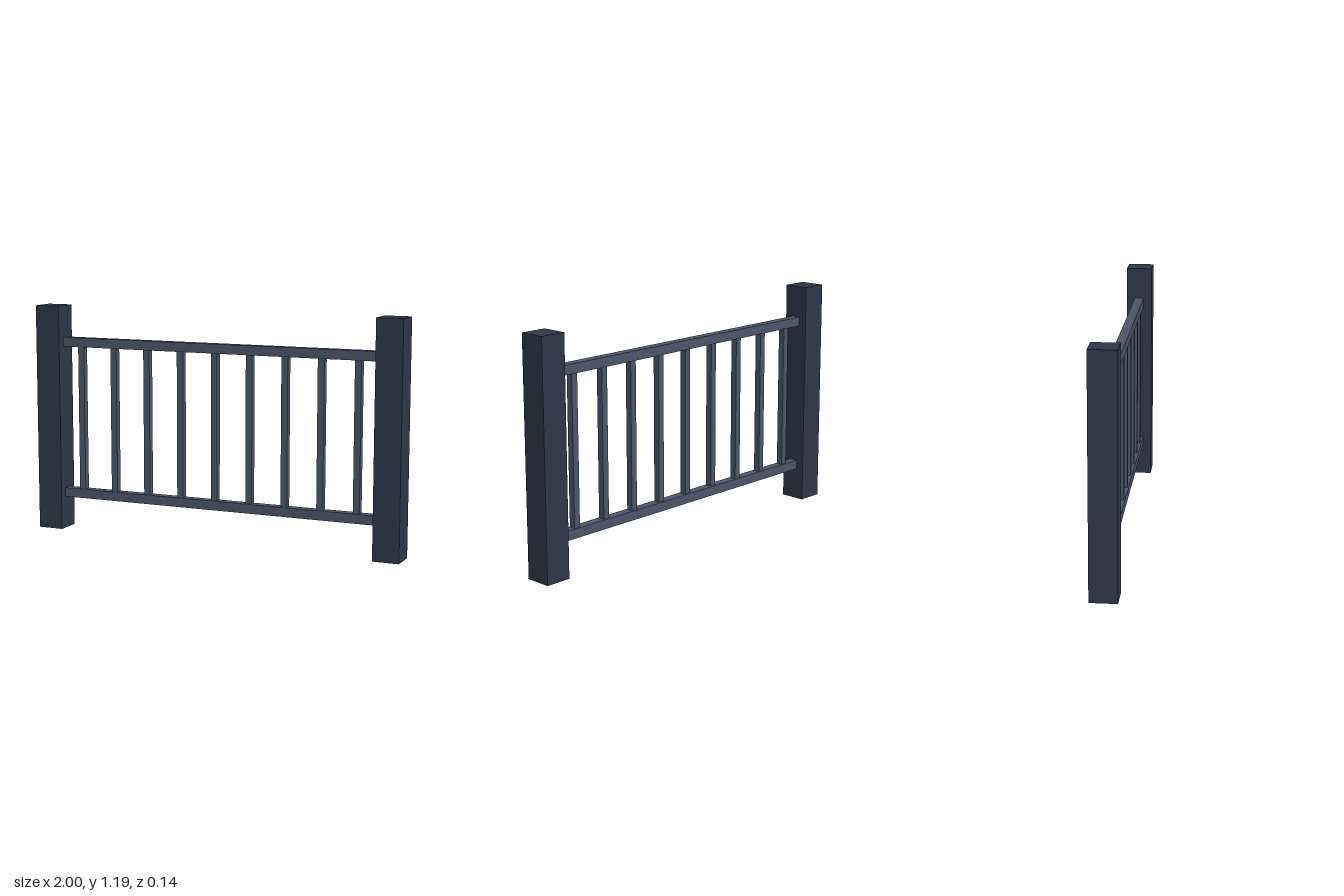
import * as THREE from 'three';

export function createModel() {
  const group = new THREE.Group();
  const postMat = new THREE.MeshStandardMaterial({ color: 0x2d3748 });
  const railMat = new THREE.MeshStandardMaterial({ color: 0x4a5568 });

  const addBox = (name, [w, h, d], [x, y, z], material) => {
    const mesh = new THREE.Mesh(new THREE.BoxGeometry(w, h, d), material);
    mesh.name = name;
    mesh.position.set(x, y, z);
    group.add(mesh);
  };

  const postW = 0.136, postH = 1.187;
  const railH = 0.048, lowerY = 0.193, upperY = 0.997;
  const span = 2 - 2 * postW;

  // Square end posts
  for (const [name, side] of [['leftPost', 1], ['rightPost', -1]]) {
    addBox(name, [postW, postH, postW], [side * (1 - postW / 2), postH / 2, 0], postMat);
  }

  // Horizontal rails between the posts
  addBox('lowerRail', [span, railH, railH], [0, lowerY, 0], railMat);
  addBox('upperRail', [span, railH, railH], [0, upperY, 0], railMat);

  // Nine evenly spaced square balusters
  const count = 9, spacing = 0.1905, barW = 0.034;
  const barH = upperY - lowerY - railH;
  for (let i = 0; i < count; i++) {
    const x = (i - (count - 1) / 2) * spacing;
    addBox(`baluster${i + 1}`, [barW, barH, barW], [x, (lowerY + upperY) / 2, 0], railMat);
  }

  return group;
}
